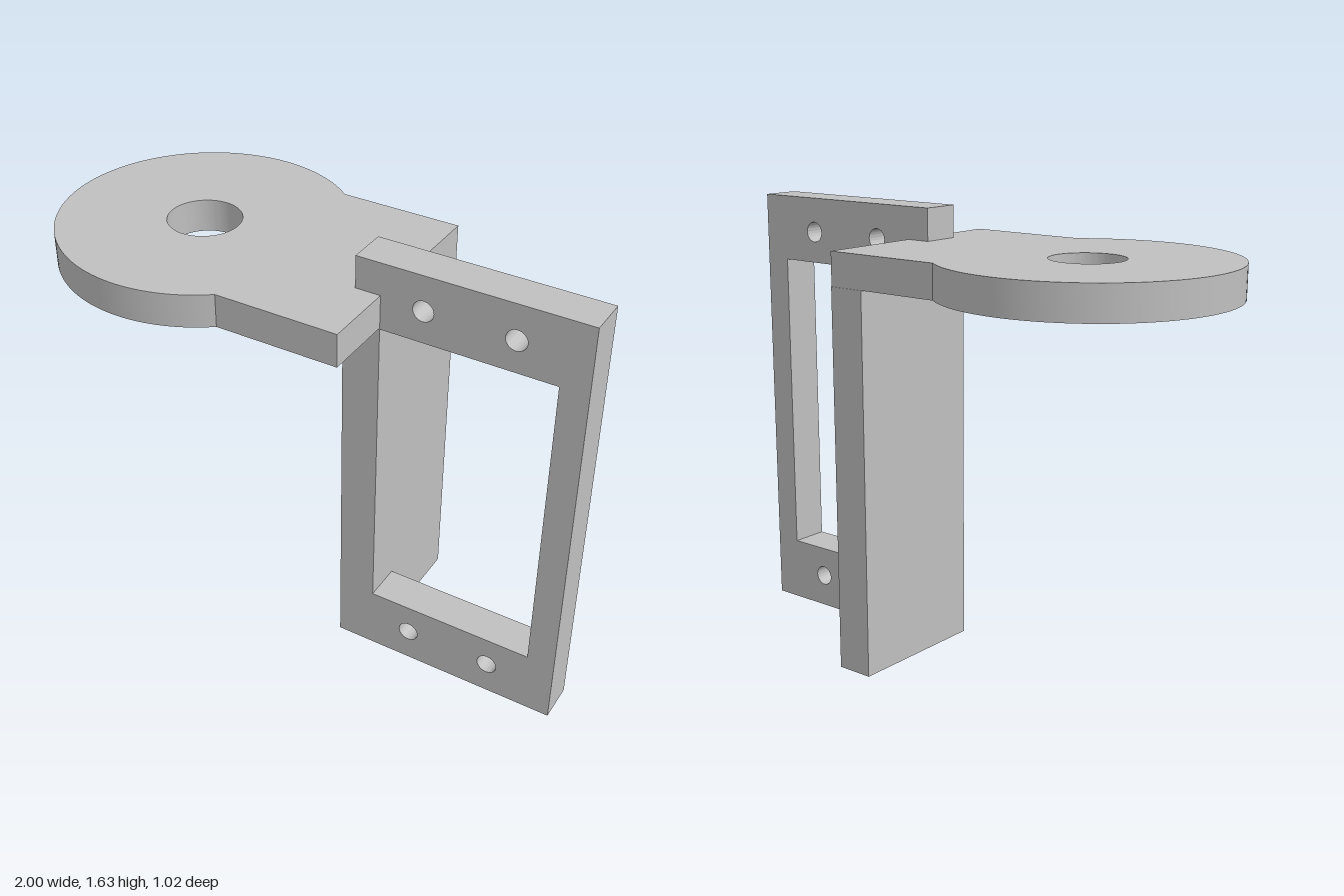
import * as THREE from 'three';
import { toCreasedNormals } from 'three/addons/utils/BufferGeometryUtils.js';

const metal = new THREE.MeshStandardMaterial({ color: 0xbfbfbf });
metal.name = 'plain grey';

function circleHole(x, y, r) {
  const p = new THREE.Path();
  p.absarc(x, y, r, 0, Math.PI * 2, true);
  return p;
}

function extrude(shape, depth) {
  const g = new THREE.ExtrudeGeometry(shape, { depth, bevelEnabled: false, curveSegments: 48 });
  return toCreasedNormals(g, 0.5);
}

function part(name, geometry) {
  const m = new THREE.Mesh(geometry, metal);
  m.name = name;
  return m;
}

export function createModel() {
  const group = new THREE.Group();
  group.name = 'mountingBracket';

  // Upright frame with a window and four screw holes
  const outline = [[0.143, 0], [1, 0], [1, 1.627], [0.188, 1.627], [0.188, 1.39], [0.143, 1.39]];
  const frame = new THREE.Shape(outline.map(([x, y]) => new THREE.Vector2(x, y)));
  const opening = [[0.28, 0.24], [0.28, 1.385], [0.9, 1.385], [0.9, 0.24]];
  frame.holes.push(new THREE.Path(opening.map(([x, y]) => new THREE.Vector2(x, y))));
  for (const x of [0.432, 0.75])
    for (const y of [0.125, 1.5]) frame.holes.push(circleHole(x, y, 0.037));
  group.add(part('frame', extrude(frame, 0.143).translate(0, 0, -0.01)));

  // Side wall running back from the frame, up to the underside of the plate
  const wall = new THREE.BoxGeometry(0.137, 1.39, 0.395);
  group.add(part('sideWall', wall.translate(0.2115, 0.695, -0.2075)));

  // Round plate with a straight tab, drawn in x-z and laid flat
  const cx = -0.488, cz = -0.003, r = 0.512, half = 0.4, end = 0.28;
  const a = Math.asin(half / r);
  const plate = new THREE.Shape();
  plate.moveTo(end, cz - half);
  plate.lineTo(end, cz + half);
  plate.absarc(cx, cz, r, a, Math.PI * 2 - a, false);
  plate.closePath();
  plate.holes.push(circleHole(cx, cz, 0.13));
  group.add(part('ringPlate', extrude(plate, 0.12).rotateX(Math.PI / 2).translate(0, 1.51, 0)));

  return group;
}
